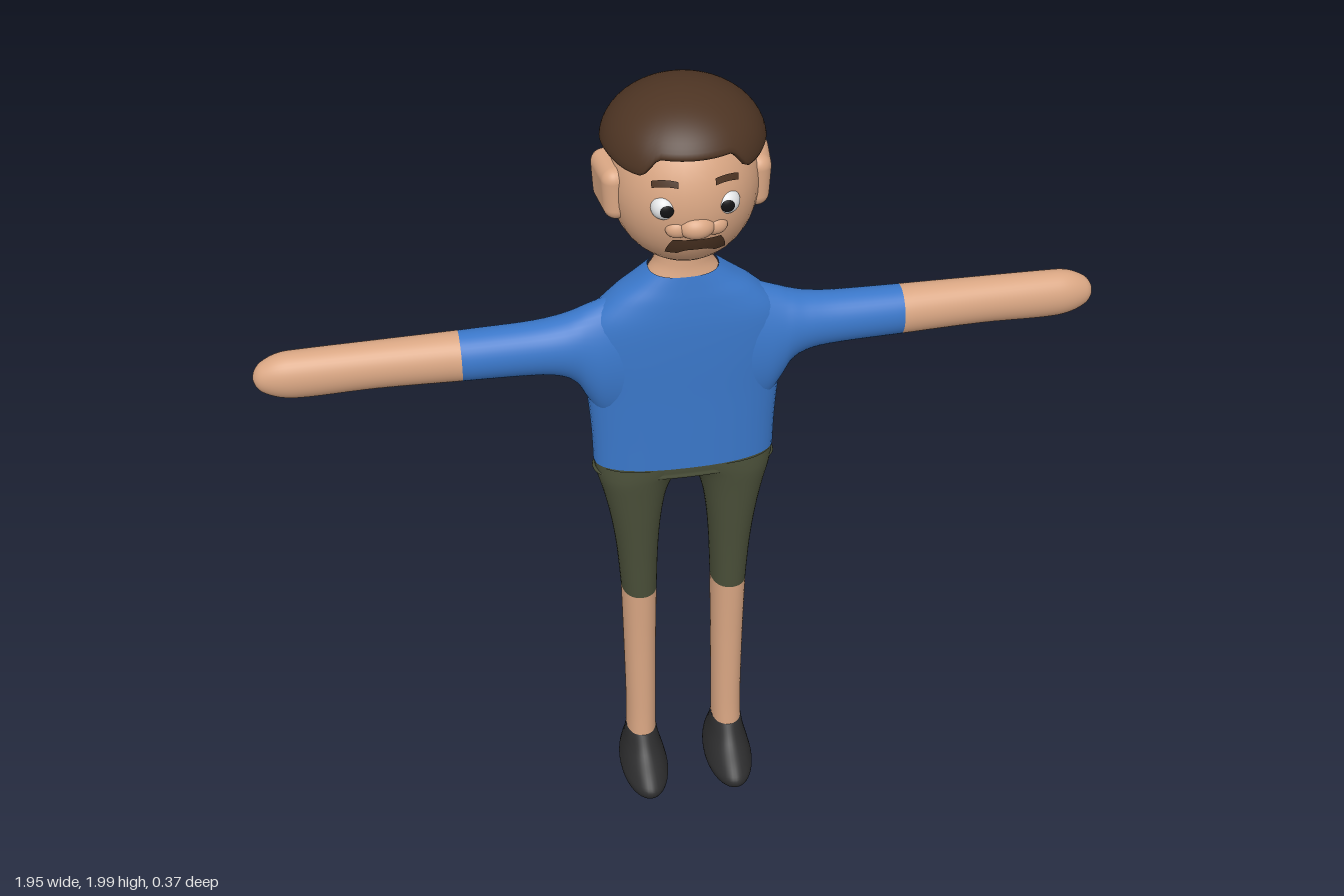
import * as THREE from 'three';
import { RoundedBoxGeometry } from 'three/addons/geometries/RoundedBoxGeometry.js';

const mat = (name, color) => {
  const m = new THREE.MeshStandardMaterial({ color });
  m.name = name;
  return m;
};

// Closed tube of rings: point(i, j) gives [x, y, z] for ring i and step j
function ringSurface(rings, steps, point, flip) {
  const pos = [], idx = [];
  for (let i = 0; i < rings; i++) for (let j = 0; j < steps; j++) pos.push(...point(i, j));
  for (let i = 0; i < rings - 1; i++) for (let j = 0; j < steps; j++) {
    const k = (j + 1) % steps;
    const a = i * steps + j, b = i * steps + k, c = a + steps, d = b + steps;
    if (flip) idx.push(a, b, c, b, d, c);
    else idx.push(a, c, b, b, c, d);
  }
  const g = new THREE.BufferGeometry();
  g.setAttribute('position', new THREE.Float32BufferAttribute(pos, 3));
  g.setIndex(idx);
  g.computeVertexNormals();
  return g;
}

// Smoothly fills in rows between the given cross-sections
function smoothRows(rows, sub = 5) {
  const out = [];
  for (let i = 0; i < rows.length - 1; i++) {
    const p0 = rows[Math.max(i - 1, 0)], p1 = rows[i], p2 = rows[i + 1], p3 = rows[Math.min(i + 2, rows.length - 1)];
    for (let k = 0; k < sub; k++) {
      const t = k / sub;
      out.push(p1.map((v, c) => 0.5 * (2 * v + (p2[c] - p0[c]) * t
        + (2 * p0[c] - 5 * v + 4 * p2[c] - p3[c]) * t * t
        + (3 * v - p0[c] - 3 * p2[c] + p3[c]) * t * t * t)));
    }
  }
  out.push(rows[rows.length - 1]);
  return out;
}

// Rows are [station, uMin, uMax, zMin, zMax]; axis 'y' uses u = x, axis 'x' uses u = y
function loft(rows, { axis = 'y', side = 1, power = 2, steps = 40 } = {}) {
  const r = smoothRows(rows);
  const bend = v => Math.sign(v) * Math.abs(v) ** (2 / power);
  return ringSurface(r.length, steps, (i, j) => {
    const [t, u0, u1, z0, z1] = r[i], a = j / steps * Math.PI * 2;
    const u = (u0 + u1) / 2 + bend(Math.cos(a)) * (u1 - u0) / 2;
    const z = (z0 + z1) / 2 + bend(Math.sin(a)) * (z1 - z0) / 2;
    return axis === 'y' ? [side * u, t, z] : [side * t, u, z];
  }, (axis === 'x') !== (side < 0));
}

const HEAD = { y: 1.778, rx: 0.166, ry: 0.19, rz: 0.17 };
const headZ = (x, y) =>
  HEAD.rz * Math.sqrt(Math.max(0, 1 - (x / HEAD.rx) ** 2 - ((y - HEAD.y) / HEAD.ry) ** 2));

// Thin plate laid on the face; shape(u, v) maps -1..1 to [x, y]
function facePlate(shape) {
  const g = new THREE.PlaneGeometry(2, 2, 16, 6), p = g.attributes.position;
  for (let i = 0; i < p.count; i++) {
    const [x, y] = shape(p.getX(i), p.getY(i));
    p.setXYZ(i, x, y, headZ(x, y) + 0.007);
  }
  g.computeVertexNormals();
  return g;
}

export function createModel() {
  const model = new THREE.Group();
  const skin = mat('skin', 0xd9a683), shirt = mat('shirt blue', 0x3a77c9), shorts = mat('shorts green', 0x494e38);
  const shoe = mat('shoe black', 0x2d2d2e), hair = mat('hair brown', 0x4d3423);
  const white = mat('eye white', 0xf0f2f4), black = mat('pupil black', 0x121214);
  const add = (name, geo, material, parent = model) => {
    const m = new THREE.Mesh(geo, material);
    m.name = name;
    parent.add(m);
    return m;
  };
  const ball = (name, material, x, y, z, sx, sy, sz, parent) => {
    const m = add(name, new THREE.SphereGeometry(1, 36, 24), material, parent);
    m.position.set(x, y, z);
    m.scale.set(sx, sy, sz);
    return m;
  };

  // Torso and hips
  add('shirtBody', loft([
    [1.03, -0.214, 0.214, -0.085, 0.075],
    [1.12, -0.217, 0.217, -0.085, 0.075],
    [1.22, -0.225, 0.225, -0.085, 0.075],
    [1.33, -0.238, 0.238, -0.085, 0.076],
    [1.42, -0.225, 0.225, -0.084, 0.074],
    [1.48, -0.172, 0.172, -0.08, 0.068],
    [1.52, -0.118, 0.118, -0.074, 0.061],
    [1.55, -0.08, 0.08, -0.064, 0.055],
  ], { power: 2.4 }), shirt);
  add('hips', loft([
    [0.995, -0.01, 0.01, -0.01, 0.01],
    [1.0, -0.2, 0.2, -0.08, 0.07],
    [1.015, -0.21, 0.21, -0.084, 0.074],
    [1.031, -0.214, 0.214, -0.085, 0.075],
  ], { power: 2.4 }), shorts);

  // Limbs
  for (const side of [1, -1]) {
    const name = side > 0 ? 'left' : 'right';
    add(name + 'Sleeve', loft([
      [0.14, 1.14, 1.492, -0.076, 0.064],
      [0.19, 1.16, 1.47, -0.076, 0.064],
      [0.225, 1.215, 1.455, -0.074, 0.06],
      [0.25, 1.262, 1.444, -0.071, 0.057],
      [0.29, 1.287, 1.432, -0.068, 0.053],
      [0.36, 1.296, 1.424, -0.064, 0.048],
      [0.51, 1.3, 1.42, -0.062, 0.045],
    ], { axis: 'x', side }), shirt);
    add(name + 'Arm', loft([
      [0.51, 1.3, 1.42, -0.062, 0.045],
      [0.7, 1.304, 1.418, -0.058, 0.04],
      [0.85, 1.3, 1.416, -0.057, 0.038],
      [0.91, 1.304, 1.412, -0.055, 0.034],
      [0.95, 1.32, 1.395, -0.042, 0.022],
      [0.967, 1.338, 1.377, -0.026, 0.008],
      [0.973, 1.357, 1.358, -0.01, -0.009],
    ], { axis: 'x', side }), skin);
    add(name + 'ShortsLeg', loft([
      [0.63, 0.068, 0.154, -0.062, 0.057],
      [0.75, 0.064, 0.163, -0.068, 0.061],
      [0.85, 0.056, 0.176, -0.073, 0.066],
      [0.93, 0.042, 0.192, -0.078, 0.07],
      [0.98, 0.02, 0.205, -0.082, 0.073],
      [1.005, -0.012, 0.21, -0.084, 0.074],
      [1.03, -0.06, 0.213, -0.084, 0.074],
    ], { side, power: 2.2 }), shorts);
    add(name + 'LowerLeg', loft([
      [0.16, 0.074, 0.148, -0.056, 0.05],
      [0.25, 0.073, 0.147, -0.054, 0.048],
      [0.45, 0.071, 0.15, -0.058, 0.05],
      [0.63, 0.068, 0.154, -0.062, 0.057],
    ], { side, power: 2.2 }), skin);
    add(name + 'Shoe', loft([
      [0.006, 0.105, 0.115, 0.01, 0.03],
      [0.009, 0.08, 0.14, -0.055, 0.09],
      [0.025, 0.058, 0.162, -0.092, 0.142],
      [0.052, 0.05, 0.17, -0.105, 0.162],
      [0.08, 0.055, 0.165, -0.099, 0.14],
      [0.12, 0.066, 0.155, -0.075, 0.085],
      [0.161, 0.073, 0.149, -0.057, 0.051],
    ], { side }), shoe);
  }

  // Head and neck
  const head = new THREE.Group();
  head.name = 'head';
  model.add(head);
  add('neck', loft([
    [1.545, -0.08, 0.08, -0.063, 0.055],
    [1.575, -0.066, 0.066, -0.055, 0.05],
    [1.63, -0.062, 0.062, -0.054, 0.05],
  ]), skin, head);
  ball('skull', skin, 0, HEAD.y, 0, HEAD.rx, HEAD.ry, HEAD.rz, head);
  ball('nose', skin, 0, 1.745, 0.15, 0.042, 0.03, 0.035, head);

  for (const side of [1, -1]) {
    const name = side > 0 ? 'left' : 'right';
    ball(name + 'Nostril', skin, side * 0.04, 1.742, 0.15, 0.028, 0.022, 0.02, head);
    const ear = add(name + 'Ear', new RoundedBoxGeometry(0.06, 0.125, 0.135, 5, 0.029), skin, head);
    ear.position.set(side * 0.16, 1.775, -0.004);
    ear.rotation.set(0, side * -0.12, side * -0.06);
    ball(name + 'Eye', white, side * 0.068, 1.792, 0.137, 0.029, 0.029, 0.029, head);
    const pupil = add(name + 'Pupil', new THREE.SphereGeometry(0.0305, 24, 8, 0, Math.PI * 2, 0, 0.52), black, head);
    pupil.position.set(side * 0.066, 1.793, 0.137);
    pupil.rotation.x = Math.PI / 2;
    add(name + 'Eyebrow', facePlate((u, v) => [
      side * 0.067 + u * 0.027,
      1.853 - 0.004 * u * u - side * u * 0.003 + v * 0.007,
    ]), hair, head);
  }

  // Moustache, wider at the bottom with a shallow arch
  add('moustache', facePlate((u, v) => {
    const low = 1.675 + 0.012 * Math.max(0, 1 - (u / 0.6) ** 4);
    const t = (v + 1) / 2;
    return [u * (0.066 - 0.014 * t * t), low + (1.72 - low) * t];
  }), hair, head);

  // Hair cap with a raised fringe and a turned-in rim
  const rows = 16, steps = 96;
  add('hair', ringSurface(rows + 4, steps, (i, j) => {
    const a = j / steps * Math.PI * 2, front = Math.min(a, Math.PI * 2 - a);
    const dip = THREE.MathUtils.smoothstep(front, 0.46, 0.72);
    const edge = 1.915 - 0.042 * dip + 0.009 * THREE.MathUtils.smoothstep(front, 0.8, 1.4);
    const end = Math.acos((edge - 1.87) / 0.13);
    const th = end * Math.min(i / rows, 1);
    let r = 0.181 * Math.sin(th), y = 1.87 + 0.13 * Math.cos(th);
    const rim = i - rows;
    if (rim > 0) {
      r *= [0.985, 0.94, 0.72][rim - 1];
      y = edge + [-0.007, -0.009, 0.01][rim - 1];
    }
    return [r * Math.sin(a), y, r * Math.cos(a) - 0.008];
  }, false), hair, head);

  return model;
}
